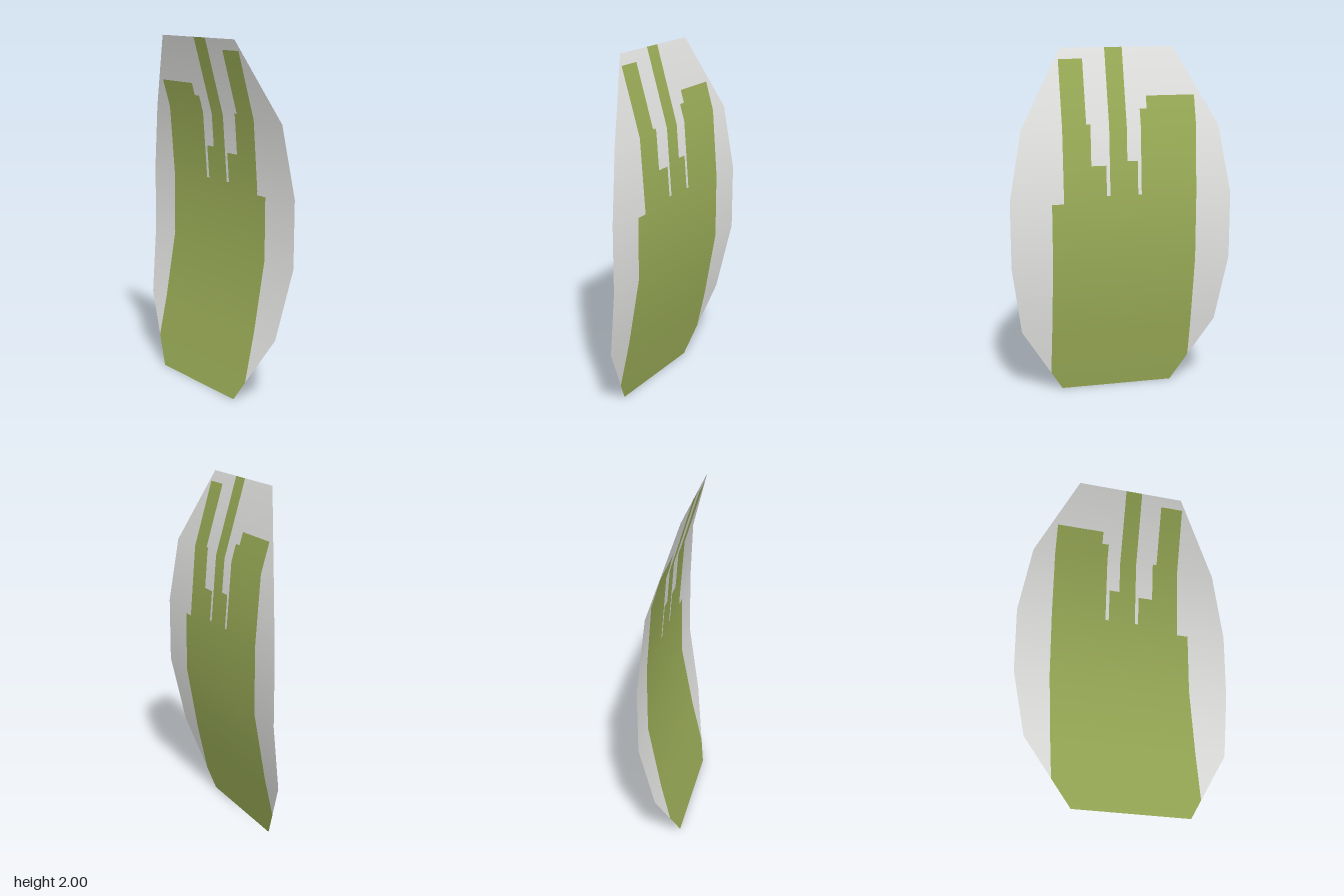
import * as THREE from 'three';

// Sheet outline: height, bow in x, half width in z
const RINGS = [
  [0, -0.08, 0.33], [0.4, 0.008, 0.575], [0.8, 0.078, 0.633],
  [1.18, 0.078, 0.633], [1.57, 0.047, 0.56], [2, -0.08, 0.32],
];

// Green blades: z from, z to, top height (all start at the base)
const BLADES = [
  [-0.43, -0.15, 1.735], [-0.15, -0.11, 1.665], [-0.11, -0.09, 1.19],
  [-0.09, -0.03, 1.38], [-0.03, 0.07, 2], [0.07, 0.09, 1.19],
  [0.09, 0.175, 1.36], [0.175, 0.198, 1.59], [0.198, 0.333, 1.94],
  [0.333, 0.4, 1.155],
];

// Linear lookup of a column of RINGS at height y
function at(y, col) {
  let i = 0;
  while (i < RINGS.length - 2 && y > RINGS[i + 1][0]) i++;
  const a = RINGS[i], b = RINGS[i + 1];
  return a[col] + (b[col] - a[col]) * (y - a[0]) / (b[0] - a[0]);
}

// Smooth surface normal of the bowed sheet
const SLOPES = RINGS.map((r, i) => {
  const a = RINGS[Math.max(i - 1, 0)], b = RINGS[Math.min(i + 1, RINGS.length - 1)];
  return (b[1] - a[1]) / (b[0] - a[0]);
});
function normalAt(y) {
  let i = 0;
  while (i < RINGS.length - 2 && y > RINGS[i + 1][0]) i++;
  const t = (y - RINGS[i][0]) / (RINGS[i + 1][0] - RINGS[i][0]);
  return new THREE.Vector3(1, -THREE.MathUtils.lerp(SLOPES[i], SLOPES[i + 1], t), 0).normalize();
}

// Heights at which the strips must be split: rings, blade tops, outline crossings
function levels() {
  const ys = [...RINGS.map(r => r[0]), ...BLADES.map(b => b[2])];
  for (const z of BLADES.flatMap(b => [Math.abs(b[0]), Math.abs(b[1])])) {
    for (let i = 0; i < RINGS.length - 1; i++) {
      const [y0, , w0] = RINGS[i], [y1, , w1] = RINGS[i + 1];
      if ((w0 - z) * (w1 - z) < 0) ys.push(y0 + (y1 - y0) * (z - w0) / (w1 - w0));
    }
  }
  return ys.sort((a, b) => a - b).filter((y, i, all) => i === 0 || y - all[i - 1] > 1e-5);
}

// Collects quads on the sheet into one geometry
function sheet(quads) {
  const pos = [], nor = [];
  for (const [y0, y1, z0, z1] of quads) {
    const corner = (y, z) => {
      const w = at(y, 2);
      return new THREE.Vector3(at(y, 1), y, THREE.MathUtils.clamp(z, -w, w));
    };
    const a = corner(y0, z1), b = corner(y0, z0), c = corner(y1, z0), d = corner(y1, z1);
    for (const p of [a, b, c, a, c, d]) {
      pos.push(p.x, p.y, p.z);
      nor.push(...normalAt(p.y).toArray());
    }
  }
  const g = new THREE.BufferGeometry();
  g.setAttribute('position', new THREE.Float32BufferAttribute(pos, 3));
  g.setAttribute('normal', new THREE.Float32BufferAttribute(nor, 3));
  return g;
}

export function createModel() {
  const green = new THREE.MeshStandardMaterial({ color: 0x9cae58, side: THREE.DoubleSide });
  green.name = 'leaf green';
  const grey = new THREE.MeshStandardMaterial({ color: 0xe6e6e4, side: THREE.DoubleSide });
  grey.name = 'pale grey';

  // Divide each band of the sheet into green blades and pale background
  const blades = [], background = [];
  const ys = levels();
  for (let i = 0; i < ys.length - 1; i++) {
    const y0 = ys[i], y1 = ys[i + 1], mid = (y0 + y1) / 2;
    let z = -1;
    for (const [z0, z1, top] of BLADES) {
      if (mid > top) continue;
      if (z0 > z + 1e-6) background.push([y0, y1, z, z0]);
      blades.push([y0, y1, z0, z1]);
      z = z1;
    }
    background.push([y0, y1, z, 1]);
  }

  const group = new THREE.Group();
  group.name = 'grassCard';
  const add = (name, quads, material) => {
    const mesh = new THREE.Mesh(sheet(quads), material);
    mesh.name = name;
    group.add(mesh);
  };
  add('grassBlades', blades, green);
  add('backgroundSheet', background, grey);
  return group;
}
